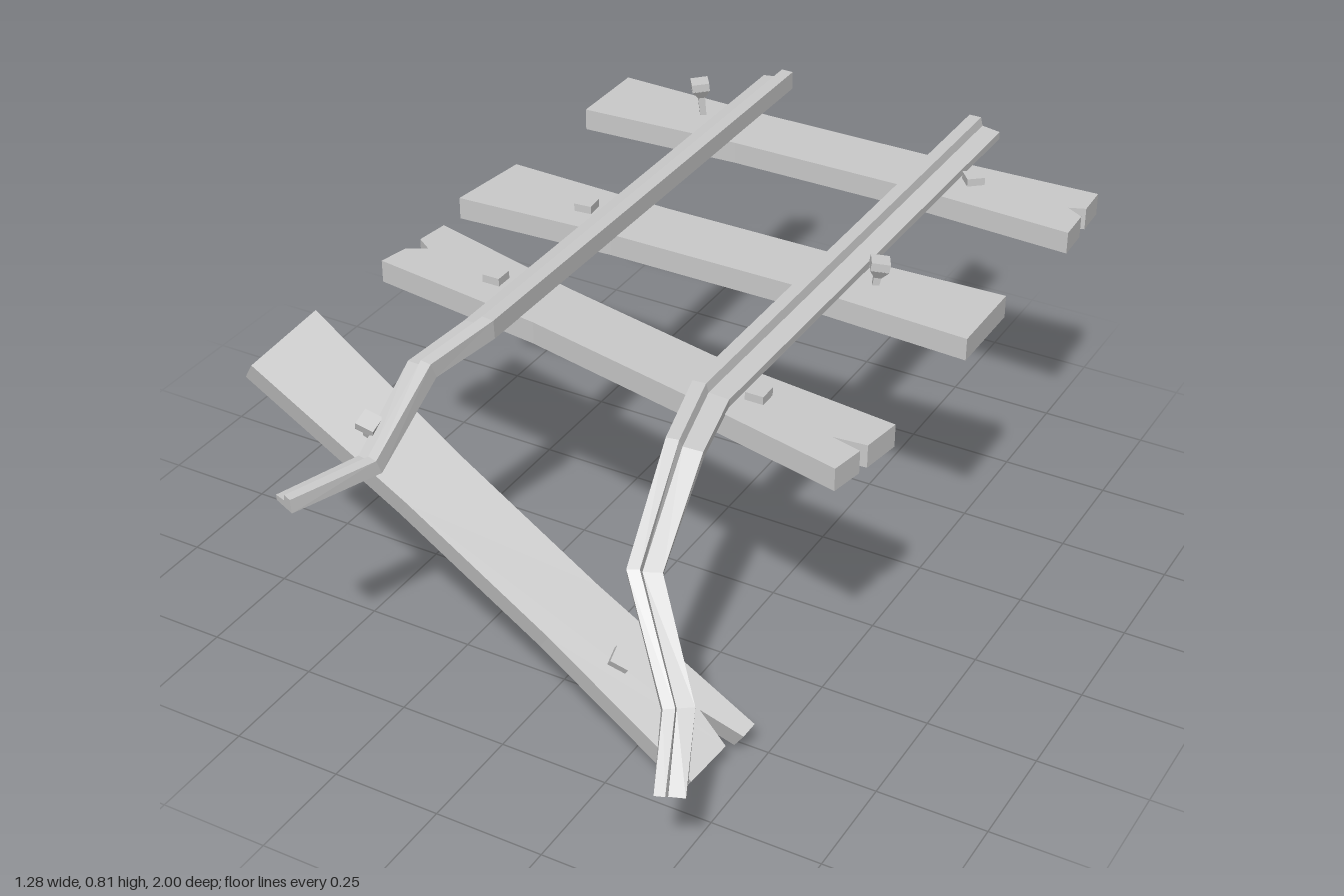
import * as THREE from 'three';

const material = new THREE.MeshStandardMaterial({ color: 0xcccccc, flatShading: true });
const THICK = 0.053;

function addMesh(parent, geometry, name) {
  const mesh = new THREE.Mesh(geometry, material);
  mesh.name = name;
  parent.add(mesh);
  return mesh;
}

// Plank: plan outline of [x, z] corners, thickness centred on y = 0
function plankGeometry(outline) {
  const shape = new THREE.Shape(outline.map(([x, z]) => new THREE.Vector2(x, -z)));
  const geo = new THREE.ExtrudeGeometry(shape, { depth: THICK, bevelEnabled: false });
  geo.rotateX(-Math.PI / 2);
  geo.translate(0, -THICK / 2, 0);
  return geo;
}

// Rail: stepped profile swept along a bent path, tapering towards the torn end
function railGeometry(path, side) {
  const profile = [[-0.04, -0.022], [0.04, -0.022], [0.04, -0.004], [-0.005, 0.002], [-0.01, 0.023], [-0.04, 0.023]];
  const shape = new THREE.Shape(profile.map(([x, y]) => new THREE.Vector2(x * side, y)));
  const points = path.map((p) => new THREE.Vector3(...p));
  const last = points.length - 1;
  const geo = new THREE.ExtrudeGeometry(shape, { depth: last, steps: last, bevelEnabled: false });
  const frames = points.map((p, i) => {
    const before = points[Math.max(i - 1, 0)], after = points[Math.min(i + 1, last)];
    const a = p.clone().sub(before).normalize(), b = after.clone().sub(p).normalize();
    const t = a.add(b).normalize();
    const across = new THREE.Vector3(0, 1, 0).cross(t).normalize();
    return { p, across, up: t.clone().cross(across), scale: i > 1 ? 1 - 0.25 * (i - 1) / (last - 1) : 1 };
  });
  const pos = geo.attributes.position;
  for (let i = 0; i < pos.count; i++) {
    const f = frames[Math.round(pos.getZ(i))];
    const v = f.p.clone()
      .addScaledVector(f.across, pos.getX(i) * f.scale)
      .addScaledVector(f.up, pos.getY(i) * f.scale);
    pos.setXYZ(i, v.x, v.y, v.z);
  }
  geo.computeVertexNormals();
  return geo;
}

// Spike: square head on a tapered shank; lift is how far it is pulled out
function addSpike(parent, x, y, z, lift, turn, lean = 0) {
  const spike = new THREE.Group();
  spike.name = lift > 0 ? 'looseSpike' : 'spike';
  const head = addMesh(spike, new THREE.BoxGeometry(0.042, 0.02, 0.042), 'spikeHead');
  head.position.y = lift + 0.009;
  if (lift > 0) {
    const neck = addMesh(spike, new THREE.CylinderGeometry(0.03, 0.01, 0.025, 4), 'spikeNeck');
    neck.rotation.y = Math.PI / 4;
    neck.position.y = lift - 0.0125;
    const shank = addMesh(spike, new THREE.CylinderGeometry(0.012, 0.01, lift, 4), 'spikeShank');
    shank.rotation.y = Math.PI / 4;
    shank.position.y = lift / 2 - 0.015;
  }
  spike.position.set(x, y, z);
  spike.rotation.set(0, turn, lean);
  parent.add(spike);
}

export function createModel() {
  const model = new THREE.Group();
  model.name = 'brokenTrack';

  // Level ties
  const ties = {
    backTie: [[-0.62, -0.855], [-0.22, -0.84], [0.2, -0.84], [0.63, -0.855], [0.633, -0.775], [0.595, -0.76],
      [0.637, -0.735], [0.64, -0.65], [0.25, -0.672], [-0.22, -0.672], [-0.62, -0.65]],
    middleTie: [[-0.615, -0.325], [-0.2, -0.31], [0.2, -0.31], [0.63, -0.325], [0.63, -0.12], [0.25, -0.142],
      [-0.25, -0.142], [-0.64, -0.12]],
    skewedTie: [[-0.6, 0.005], [-0.2, 0.11], [0.2, 0.198], [0.64, 0.25], [0.625, 0.345], [0.55, 0.352], [0.62, 0.37],
      [0.605, 0.45], [0.2, 0.355], [-0.2, 0.268], [-0.63, 0.207], [-0.615, 0.135], [-0.57, 0.112], [-0.61, 0.085]],
  };
  for (const [name, outline] of Object.entries(ties)) {
    addMesh(model, plankGeometry(outline), name).position.y = 0.714;
  }

  // Fallen tie, sloping down to one side and leaning forwards
  const fallen = new THREE.Group();
  fallen.name = 'fallenTie';
  addMesh(fallen, plankGeometry([[-0.63, -0.1], [-0.2, -0.085], [0.2, -0.085], [0.635, -0.1], [0.635, -0.06],
    [0.53, -0.035], [0.62, -0.015], [0.615, 0.1], [0.2, 0.085], [-0.2, 0.085], [-0.63, 0.1]]), 'fallenPlank');
  fallen.position.set(-0.087, 0.396, 0.6);
  fallen.rotation.set(0.24, 0, -0.581, 'ZYX');
  addSpike(fallen, 0.34, THICK / 2, 0.01, 0, 0.3);
  addSpike(fallen, -0.36, THICK / 2, 0.03, 0.035, 0.2, 0.25);
  model.add(fallen);

  // Rails, tall edge inwards, bent down at the front
  addMesh(model, railGeometry([[0.28, 0.762, -1], [0.28, 0.762, 0.36], [0.315, 0.742, 0.53], [0.355, 0.6, 0.76],
    [0.5, 0.41, 0.885], [0.535, 0.275, 0.98]], 1), 'leftRail');
  addMesh(model, railGeometry([[-0.275, 0.762, -1], [-0.275, 0.762, 0.36], [-0.31, 0.742, 0.53],
    [-0.325, 0.605, 0.71], [-0.405, 0.592, 0.895]], -1), 'rightRail');

  // Spikes on the level ties: x, z, lift, turn, lean
  const spikes = [
    [-0.36, -0.77, 0.07, 0.6, 0.1], [0.355, -0.77, 0, 0.7, 0],
    [-0.36, -0.22, 0, 0.1, 0], [0.362, -0.235, 0.042, 0.5, -0.15],
    [-0.365, 0.155, 0, 0, 0], [0.355, 0.295, 0, 0, 0],
  ];
  for (const [x, z, lift, turn, lean] of spikes) addSpike(model, x, 0.74, z, lift, turn, lean);

  return model;
}
